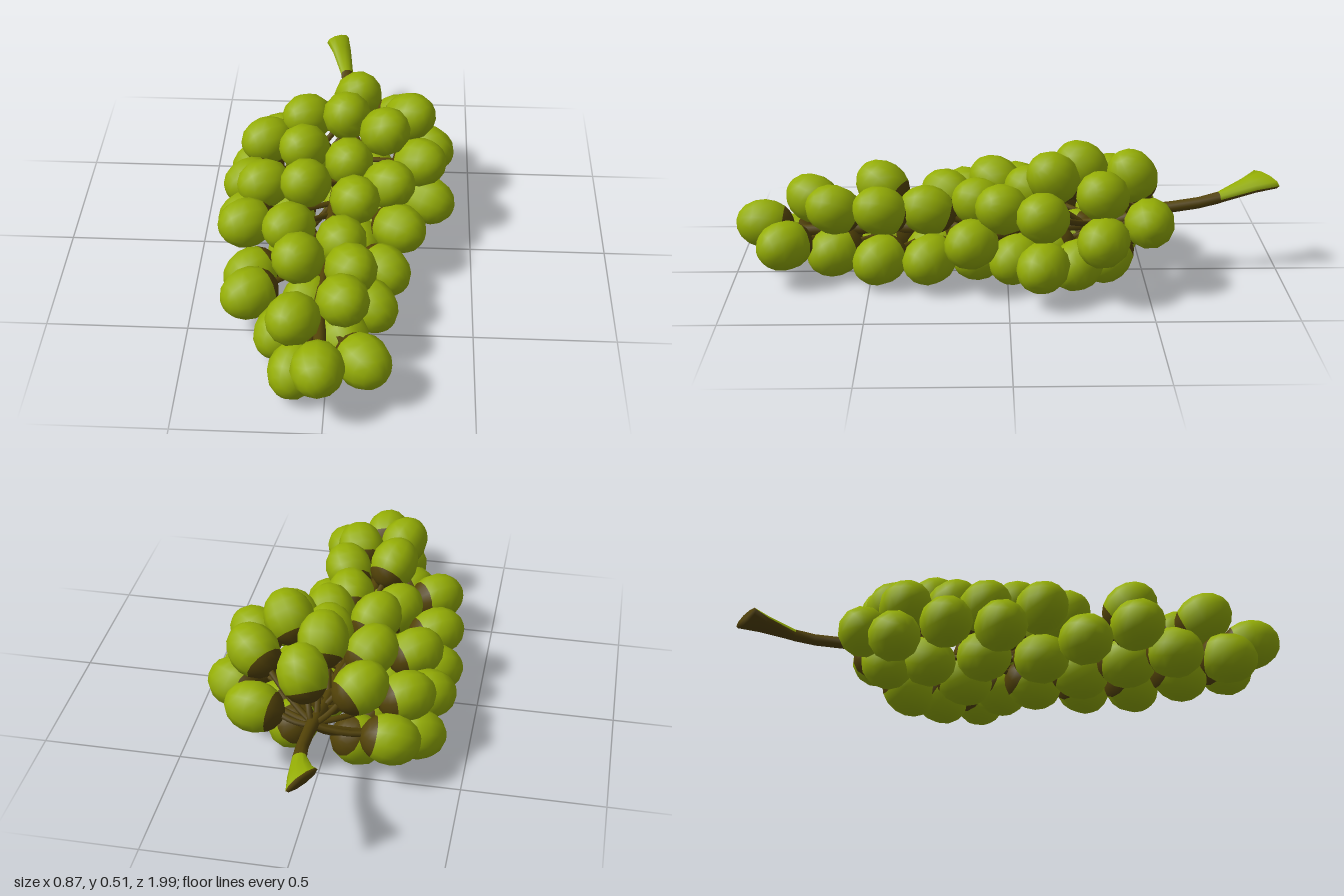
import * as THREE from 'three';

const green = new THREE.MeshStandardMaterial({ color: 0x95ae05 });
green.name = 'grapeGreen';
const brown = new THREE.MeshStandardMaterial({ color: 0x534308 });
brown.name = 'stemBrown';

// Grape centres [x, y, z], front tip to back
const upperGrapes = [
  [-0.02, 0.185, 0.89], [0.125, 0.15, 0.805], [-0.1, 0.1, 0.8], [-0.11, 0.25, 0.72],
  [0.05, 0.26, 0.63], [-0.28, 0.155, 0.48], [-0.11, 0.3, 0.46], [0.07, 0.26, 0.46],
  [0.03, 0.25, 0.29], [-0.16, 0.25, 0.22], [-0.32, 0.21, 0.15], [0.23, 0.19, 0.13],
  [0.07, 0.29, 0.1], [-0.11, 0.315, 0.04], [0.19, 0.305, 0.02], [-0.27, 0.245, -0.05],
  [0.04, 0.325, -0.09], [0.17, 0.415, -0.16], [0.3, 0.31, -0.12], [-0.13, 0.32, -0.18],
  [0.025, 0.41, -0.27], [0.26, 0.375, -0.33], [0.33, 0.23, -0.33], [-0.28, 0.25, -0.33],
  [-0.13, 0.315, -0.4], [0.06, 0.385, -0.45], [0.22, 0.26, -0.5], [-0.25, 0.17, -0.48],
];
const lowerGrapes = [
  [-0.16, 0.1, 0.61], [0.05, 0.1, 0.63], [0.14, 0.1, 0.46], [-0.08, 0.1, 0.44],
  [-0.29, 0.1, 0.3], [0.18, 0.115, 0.28], [0, 0.095, 0.27], [-0.15, 0.095, 0.14],
  [0.08, 0.095, 0.1], [-0.335, 0.14, 0.01], [-0.18, 0.095, -0.06], [0.17, 0.11, -0.03],
  [0.335, 0.14, -0.12], [0.03, 0.095, -0.15], [-0.335, 0.16, -0.18], [0.19, 0.095, -0.25],
  [-0.15, 0.095, -0.26], [-0.325, 0.115, -0.36], [0.12, 0.1, -0.36], [-0.125, 0.1, -0.41],
];

// Main stalk, dipping from the handle into the middle of the bunch
const stalk = new THREE.CatmullRomCurve3([
  [0.012, 0.245, -0.56], [0.01, 0.2, -0.42], [0, 0.175, -0.2], [-0.02, 0.165, 0.1],
  [-0.03, 0.16, 0.5], [-0.02, 0.155, 0.8],
].map((p) => new THREE.Vector3(...p)));

// Grape skin and the brown patch at its stem end share one ellipsoid
const CAP = Math.PI * 0.3;
const skinGeo = new THREE.SphereGeometry(1, 12, 6, 0, Math.PI * 2, CAP, Math.PI - CAP).scale(0.091, 0.107, 0.091);
const capGeo = new THREE.SphereGeometry(1, 12, 3, 0, Math.PI * 2, 0, CAP).scale(0.091, 0.107, 0.091);

function addGrape(parent, [x, y, z]) {
  const centre = new THREE.Vector3(x, y, z);
  // Point on the stalk a little behind the grape
  const t = THREE.MathUtils.clamp((z - 0.17 + 0.54) / 1.36, 0.02, 1);
  const root = stalk.getPointAt(t);
  const dir = root.clone().sub(centre).normalize();

  const grape = new THREE.Group();
  grape.name = 'grape';
  const skin = new THREE.Mesh(skinGeo, green);
  skin.name = 'grapeSkin';
  const cap = new THREE.Mesh(capGeo, brown);
  cap.name = 'grapeStemEnd';
  grape.add(skin, cap);
  grape.position.copy(centre);
  grape.quaternion.setFromUnitVectors(new THREE.Vector3(0, 1, 0), dir);
  parent.add(grape);

  // Thin twig from the stalk to the grape
  const end = centre.clone().addScaledVector(dir, 0.1);
  const mid = root.clone().lerp(end, 0.5).add(new THREE.Vector3(0, -0.01, -0.015));
  const path = new THREE.QuadraticBezierCurve3(root, mid, end);
  const twig = new THREE.Mesh(new THREE.TubeGeometry(path, 4, 0.011, 6), brown);
  twig.name = 'twig';
  parent.add(twig);
}

// Flared, slant-cut handle lofted from elliptical rings
function makeHandle() {
  // centre x, y, z, radius x, radius y, slant
  const rings = [
    [0.01, 0.235, -0.5, 0.024, 0.024, 0],
    [0.012, 0.25, -0.6, 0.022, 0.021, 0],
    [0.012, 0.265, -0.7, 0.022, 0.021, 0],
    [0.004, 0.282, -0.775, 0.024, 0.021, 0.006],
    [-0.022, 0.32, -0.89, 0.035, 0.023, 0.025],
    [-0.042, 0.337, -0.953, 0.042, 0.023, 0.046],
  ];
  const sides = 10;
  const pos = [];
  for (const [cx, cy, cz, rx, ry, slant] of rings) {
    for (let i = 0; i < sides; i++) {
      const a = (i / sides) * Math.PI * 2;
      const c = Math.cos(a);
      pos.push(cx + c * rx, cy + Math.sin(a) * ry - c * slant * 0.3, cz - c * slant);
    }
  }
  const last = (rings.length - 1) * sides;
  pos.push(-0.042, 0.337, -0.953);
  const woody = [], fresh = [];
  for (let r = 0; r < rings.length - 1; r++) {
    for (let i = 0; i < sides; i++) {
      const j = (i + 1) % sides;
      const a = r * sides + i, b = r * sides + j, c = a + sides, d = b + sides;
      // Upper faces near the cut stay green
      const target = r >= 3 && i < sides / 2 ? fresh : woody;
      target.push(a, c, b, b, c, d);
    }
  }
  for (let i = 0; i < sides; i++) woody.push(last + ((i + 1) % sides), last + i, last + sides);
  const geo = new THREE.BufferGeometry();
  geo.setAttribute('position', new THREE.Float32BufferAttribute(pos, 3));
  geo.setIndex([...woody, ...fresh]);
  geo.addGroup(0, woody.length, 0);
  geo.addGroup(woody.length, fresh.length, 1);
  geo.computeVertexNormals();
  const handle = new THREE.Mesh(geo, [brown, green]);
  handle.name = 'handle';
  return handle;
}

export function createModel() {
  const model = new THREE.Group();
  model.name = 'grapeBunch';

  const stem = new THREE.Mesh(new THREE.TubeGeometry(stalk, 16, 0.022, 8), brown);
  stem.name = 'stalk';
  model.add(stem, makeHandle());

  const upper = new THREE.Group();
  upper.name = 'upperGrapes';
  upperGrapes.forEach((p) => addGrape(upper, p));
  const lower = new THREE.Group();
  lower.name = 'lowerGrapes';
  lowerGrapes.forEach((p) => addGrape(lower, p));
  model.add(upper, lower);
  return model;
}
